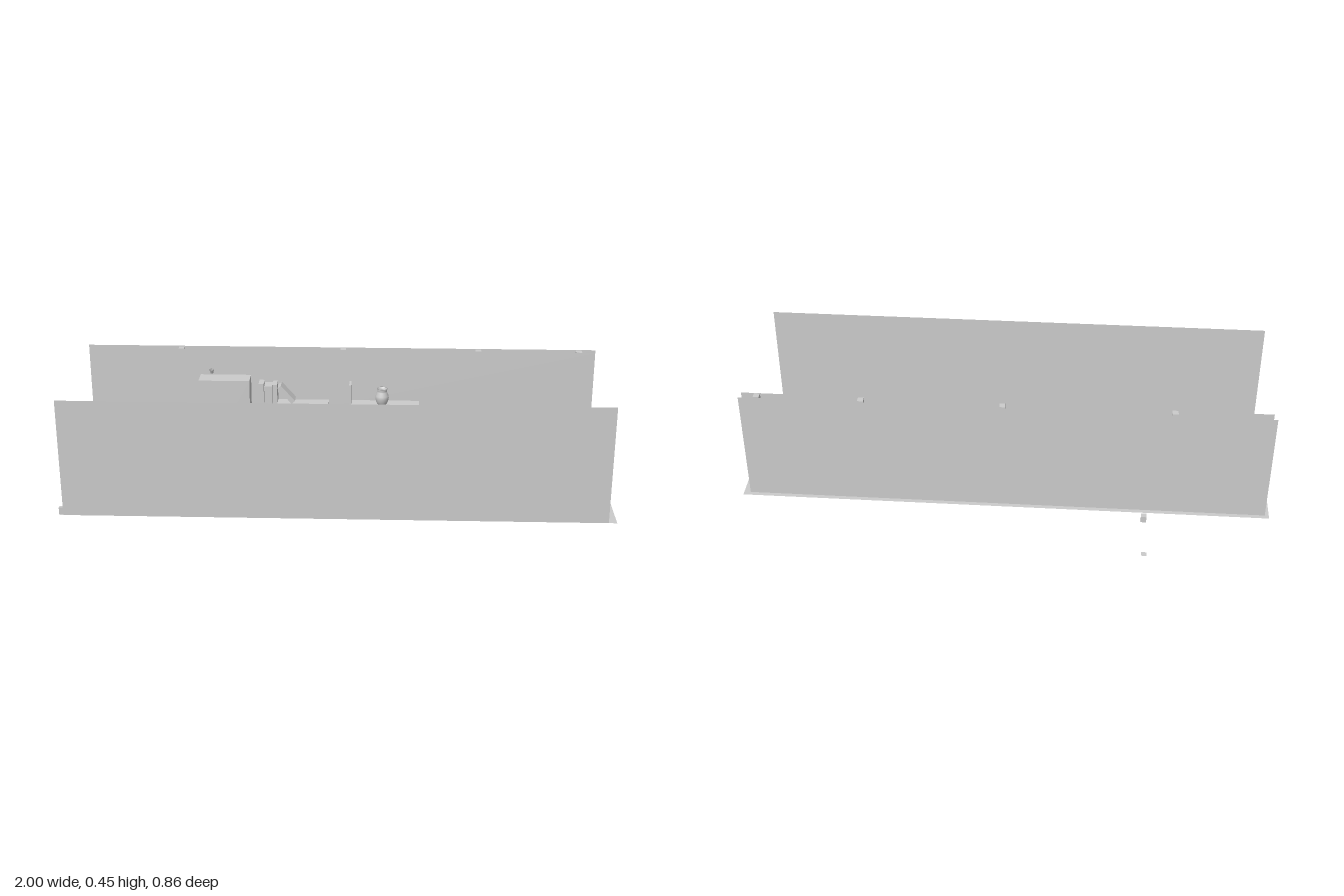
import * as THREE from 'three';

export function createModel() {
  const model = new THREE.Group();
  const flat = new THREE.MeshStandardMaterial({ color: 0xcccccc, flatShading: true, side: THREE.DoubleSide });
  const smooth = new THREE.MeshStandardMaterial({ color: 0xcccccc, side: THREE.DoubleSide });

  const add = (name, geometry, x = 0, y = 0, z = 0, material = flat) => {
    const mesh = new THREE.Mesh(geometry, material);
    mesh.name = name;
    mesh.position.set(x, y, z);
    model.add(mesh);
    return mesh;
  };
  // Box given by its extents on each axis
  const box = (name, x0, x1, y0, y1, z0, z1) =>
    add(name, new THREE.BoxGeometry(x1 - x0, y1 - y0, z1 - z0), (x0 + x1) / 2, (y0 + y1) / 2, (z0 + z1) / 2);
  // Profile of [z, y] points extruded along x
  const extrudeX = (name, points, x0, x1) => {
    const shape = new THREE.Shape(points.map(([z, y]) => new THREE.Vector2(-z, y)));
    const geometry = new THREE.ExtrudeGeometry(shape, { depth: x1 - x0, bevelEnabled: false });
    geometry.rotateY(Math.PI / 2);
    return add(name, geometry, x0);
  };
  const wall = (name, x0, x1, z) =>
    add(name, new THREE.PlaneGeometry(x1 - x0, 0.442), (x0 + x1) / 2, 0.231, z);

  // Floor sheet
  add('floor', new THREE.PlaneGeometry(2, 0.62).rotateX(-Math.PI / 2), 0, 0.01, 0.115);

  // Thin wall sheets: one at the front, two at the back with a cavity between
  wall('frontWall', -0.985, 0.97, 0.425);
  wall('backWallInner', -0.975, 0.97, -0.146);
  wall('backWallOuter', -0.985, 0.975, -0.178);

  // Studs in the wall cavity
  for (const x of [-0.62, 0.005, 0.525, 0.91]) box('wallStud', x - 0.011, x + 0.011, 0.01, 0.452, -0.171, -0.147);

  // Skirting boards; s is the direction in which the moulding stands out
  const skirting = (name, z, s, x0, x1) =>
    extrudeX(name, [[0, 0.014], [0.014, 0.014], [0.014, 0.018], [0.01, 0.024], [0.01, 0.032], [0.012, 0.039], [0, 0.039]]
      .map(([d, y]) => [z + s * d, y]), x0, x1);
  skirting('frontSkirting', 0.424, -1, -1, 0.92);
  skirting('backSkirting', -0.15, 1, -0.97, 0.975);

  // Tall cabinet with a small cup on top
  box('cabinet', -0.545, -0.35, 0.01, 0.356, -0.121, -0.05);
  const cup = add('smallCup', new THREE.CylinderGeometry(0.009, 0.006, 0.016, 8, 1, true), -0.5, 0.375, -0.105);
  cup.rotation.x = 0.3;

  // Wall shelves with curved brackets beneath
  const shelf = (x0, x1) => {
    box('shelfBoard', x0, x1, 0.24, 0.247, -0.146, -0.095);
    for (const x of [x0, x1 - 0.008]) {
      extrudeX('shelfBracket', [[-0.146, 0.24], [-0.095, 0.24], [-0.101, 0.233], [-0.12, 0.222], [-0.146, 0.213]], x, x + 0.008);
    }
  };
  shelf(-0.32, -0.05);
  shelf(0.03, 0.3);
  box('shelfUpright', 0.03, 0.038, 0.247, 0.327, -0.146, -0.095);

  // Books, upright and leaning
  [[-0.32, 0.02, 0.327], [-0.298, 0.03, 0.318], [-0.266, 0.018, 0.325]].forEach(([x, w, top]) =>
    box('book', x, x + w, 0.247, top, -0.146, -0.097));
  const leaning = add('leaningBook', new THREE.BoxGeometry(0.018, 0.082, 0.049), -0.213, 0.284, -0.121);
  leaning.rotation.z = 0.72;

  // Round vase on the second shelf
  const vase = [[0, 0], [0.016, 0], [0.022, 0.01], [0.026, 0.026], [0.025, 0.036], [0.019, 0.051], [0.018, 0.056],
    [0.021, 0.064], [0.018, 0.064], [0.015, 0.054]].map(([r, y]) => new THREE.Vector2(r, y));
  add('vase', new THREE.LatheGeometry(vase, 20), 0.157, 0.248, -0.104, smooth);

  // Ribbed hose and pipe inside the wall cavity
  const ribs = [];
  for (let i = 0; i <= 48; i++) ribs.push(new THREE.Vector2(i % 2 ? 0.005 : 0.007, i * 0.0049));
  add('cavityHose', new THREE.LatheGeometry(ribs, 8), -0.15, 0.005, -0.169);
  box('cavityRail', -0.28, 0.53, 0.145, 0.152, -0.176, -0.171);
  box('cavityBox', -0.56, -0.47, 0.08, 0.13, -0.175, -0.165);

  // Loose block and flat tile behind the wall
  box('looseBlock', -0.54, -0.52, 0, 0.025, -0.239, -0.217);
  add('looseTile', new THREE.PlaneGeometry(0.02, 0.02).rotateX(-Math.PI / 2), -0.53, 0.005, -0.425);

  return model;
}
